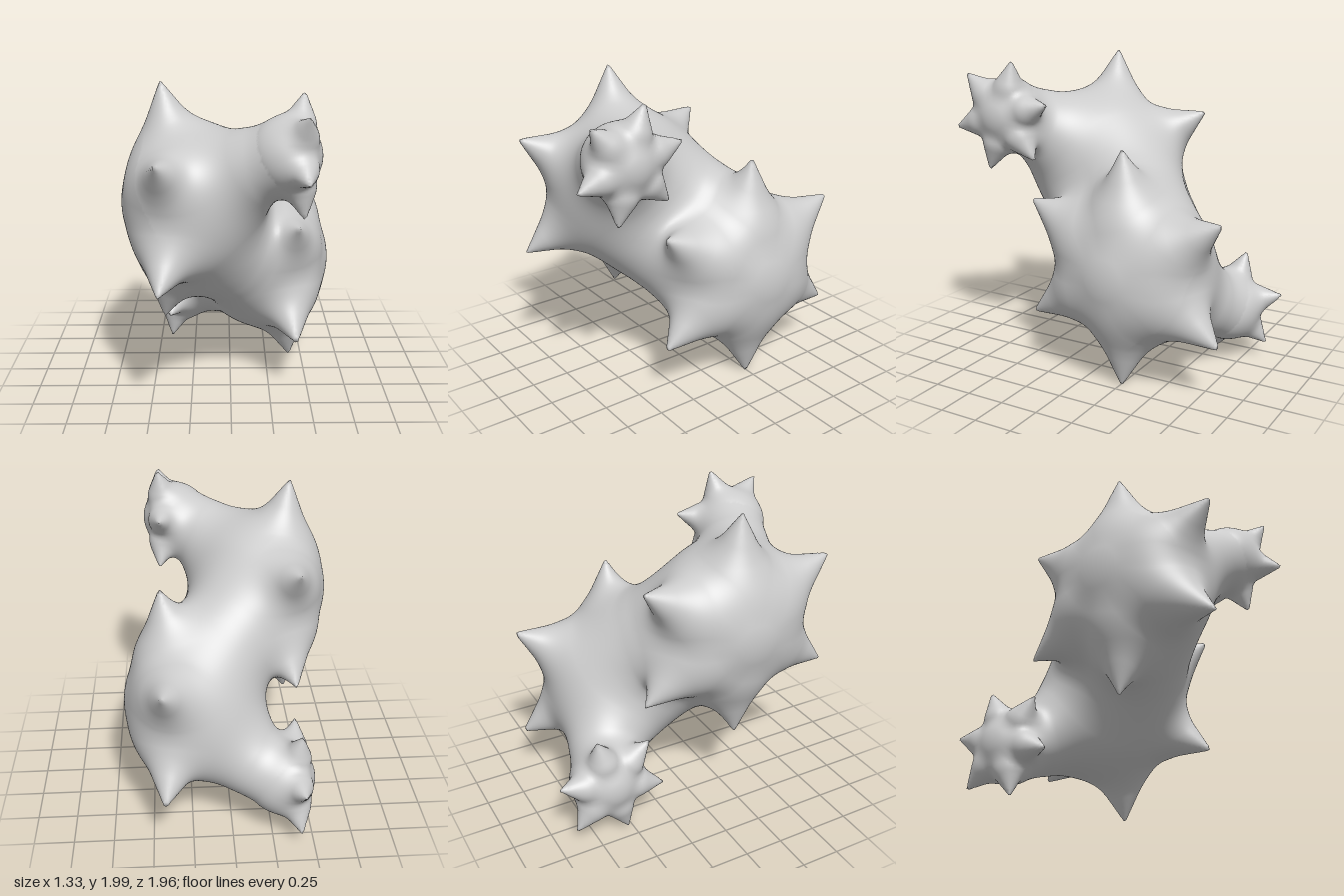
import * as THREE from 'three';

// Star heads: two on the +x side, repeated by inversion through the middle.
const X_RIM = 0.42;
const heads = [
  { y: -0.25, z: -0.25, size: 1, radius: 0.485, outer: 0.455, inner: 0.41, turn: 0 },
  { y: 0.63, z: 0.63, size: 0.473, radius: 0.205, outer: 0.2, inner: 0.16, turn: -0.27 },
];
const HALF = Math.PI / 6;                 // half angle of a spike
const TILT = 0.17;                        // spikes lean towards the rim

for (const h of heads) {
  h.spikes = [];
  for (let i = 0; i < 6; i++) {
    const a = h.turn + i * Math.PI / 3, c = Math.cos(a), s = Math.sin(a);
    const r = 0.74 * h.size + 0.02, inward = -Math.cos(TILT);
    h.spikes.push({
      x: X_RIM, y: h.y + r * c, z: h.z + r * s,
      ax: -Math.sin(TILT), ay: inward * c, az: inward * s,
    });
  }
}

// Smooth union
function blend(a, b, k) {
  const h = Math.max(k - Math.abs(a - b), 0) / k;
  return Math.min(a, b) - h * h * k * 0.25;
}

// Domed core of a head, flatter on its inner side
function dome(x, y, z, h) {
  const dx = x - (X_RIM - 0.22 * h.size), dy = y - h.y, dz = z - h.z;
  const rx = dx > 0 ? h.outer : h.inner, r = h.radius;
  const k0 = Math.hypot(dx / rx, dy / r, dz / r);
  const k1 = Math.hypot(dx / (rx * rx), dy / (r * r), dz / (r * r));
  return k1 < 1e-6 ? -r : k0 * (k0 - 1) / k1;
}

// Cone with its apex at the spike tip, ending softly inside the core
function cone(x, y, z, s, size) {
  const dx = x - s.x, dy = y - s.y, dz = z - s.z;
  const along = dx * s.ax + dy * s.ay + dz * s.az;
  const across = Math.sqrt(Math.max(dx * dx + dy * dy + dz * dz - along * along, 0));
  const side = across * Math.cos(HALF) - along * Math.sin(HALF);
  return -blend(-side, 0.42 * size - along, 0.14 * size);
}

function star(x, y, z, h) {
  let spikes = 10;
  for (const s of h.spikes) spikes = blend(spikes, cone(x, y, z, s, h.size), 0.06 * h.size);
  return blend(dome(x, y, z, h), spikes, 0.15 * h.size);
}

// Round bar from a to b with radius r0 growing by grow
function bar(x, y, z, a, b, r0, grow) {
  const d = b.map((v, i) => v - a[i]);
  const px = x - a[0], py = y - a[1], pz = z - a[2];
  let t = (px * d[0] + py * d[1] + pz * d[2]) / (d[0] ** 2 + d[1] ** 2 + d[2] ** 2);
  t = Math.min(1, Math.max(0, t));
  return Math.hypot(px - d[0] * t, py - d[1] * t, pz - d[2] * t) - r0 - grow * t;
}

// Both heads of one side, with the neck from the small head to the opposite large one
const NECK = [[0.27, 0.645, 0.645], [-0.22, 0.31, 0.31]];
function half(x, y, z) {
  const neck = bar(x, y, z, NECK[0], NECK[1], 0.18, 0.21);
  return blend(star(x, y, z, heads[0]), blend(star(x, y, z, heads[1]), neck, 0.1), 0.1);
}

// Whole body: two halves, with a waist filling the seam between the large heads
const WAIST = [[0, 0.11, -0.11], [0, -0.11, 0.11]];
function field(x, y, z) {
  const waist = bar(x, y, z, WAIST[0], WAIST[1], 0.3, 0);
  return blend(blend(half(x, y, z), half(-x, -y, -z), 0.13), waist, 0.24);
}

function gradient(p) {
  const e = 0.002, [x, y, z] = p;
  return [
    (field(x + e, y, z) - field(x - e, y, z)) / (2 * e),
    (field(x, y + e, z) - field(x, y - e, z)) / (2 * e),
    (field(x, y, z + e) - field(x, y, z - e)) / (2 * e),
  ];
}

// Wrap the field in a quad mesh: one vertex per crossed cell
function skin(step, size) {
  const n = size.map(s => Math.ceil(2 * s / step) + 1);
  const stride = [1, n[0], n[0] * n[1]];
  const values = new Float32Array(n[0] * n[1] * n[2]);
  const at = (i, axis) => -size[axis] + i * step;
  const each = fn => {
    for (let k = 0; k < n[2] - 1; k++)
      for (let j = 0; j < n[1] - 1; j++)
        for (let i = 0; i < n[0] - 1; i++) fn(i, j, k, i + j * stride[1] + k * stride[2]);
  };
  for (let k = 0, q = 0; k < n[2]; k++)
    for (let j = 0; j < n[1]; j++)
      for (let i = 0; i < n[0]; i++) values[q++] = field(at(i, 0), at(j, 1), at(k, 2));

  const cellVertex = new Int32Array(values.length).fill(-1);
  const positions = [], normals = [], index = [];
  each((i, j, k, q) => {
    let count = 0;
    const p = [0, 0, 0];
    for (let c = 0; c < 8; c++) {
      const corner = [c & 1, (c >> 1) & 1, c >> 2];
      const m = q + corner[0] + corner[1] * stride[1] + corner[2] * stride[2];
      for (let a = 0; a < 3; a++) {
        if (corner[a]) continue;
        const v0 = values[m], v1 = values[m + stride[a]];
        if ((v0 < 0) === (v1 < 0)) continue;
        for (let b = 0; b < 3; b++) p[b] += corner[b] + (a === b ? v0 / (v0 - v1) : 0);
        count++;
      }
    }
    if (!count) return;
    const base = [at(i, 0), at(j, 1), at(k, 2)];
    for (let b = 0; b < 3; b++) p[b] = base[b] + step * p[b] / count;
    // Settle on the surface
    let g = gradient(p);
    const move = field(...p) / Math.max(g[0] ** 2 + g[1] ** 2 + g[2] ** 2, 0.3);
    for (let b = 0; b < 3; b++) p[b] -= g[b] * Math.max(-step / 2, Math.min(step / 2, move));
    g = gradient(p);
    const len = Math.hypot(...g) || 1;
    cellVertex[q] = positions.length / 3;
    positions.push(p[0], p[1] + 1, p[2]);
    normals.push(g[0] / len, g[1] / len, g[2] / len);
  });

  each((i, j, k, q) => {
    for (let a = 0; a < 3; a++) {
      const inside = values[q] < 0;
      if (inside === (values[q + stride[a]] < 0)) continue;
      const b = stride[(a + 1) % 3], c = stride[(a + 2) % 3];
      const quad = [q, q - b, q - b - c, q - c].map(m => cellVertex[m]);
      if (!inside) quad.reverse();
      index.push(quad[0], quad[1], quad[2], quad[0], quad[2], quad[3]);
    }
  });

  const geometry = new THREE.BufferGeometry();
  geometry.setAttribute('position', new THREE.Float32BufferAttribute(positions, 3));
  geometry.setAttribute('normal', new THREE.Float32BufferAttribute(normals, 3));
  geometry.setIndex(index);
  return geometry;
}

export function createModel() {
  const group = new THREE.Group();
  group.name = 'spikedSculpture';
  const body = new THREE.Mesh(
    skin(0.018, [0.74, 1.06, 1.06]),
    new THREE.MeshStandardMaterial({ color: 0xcccccc }),
  );
  body.name = 'spikedBody';
  group.add(body);
  return group;
}
